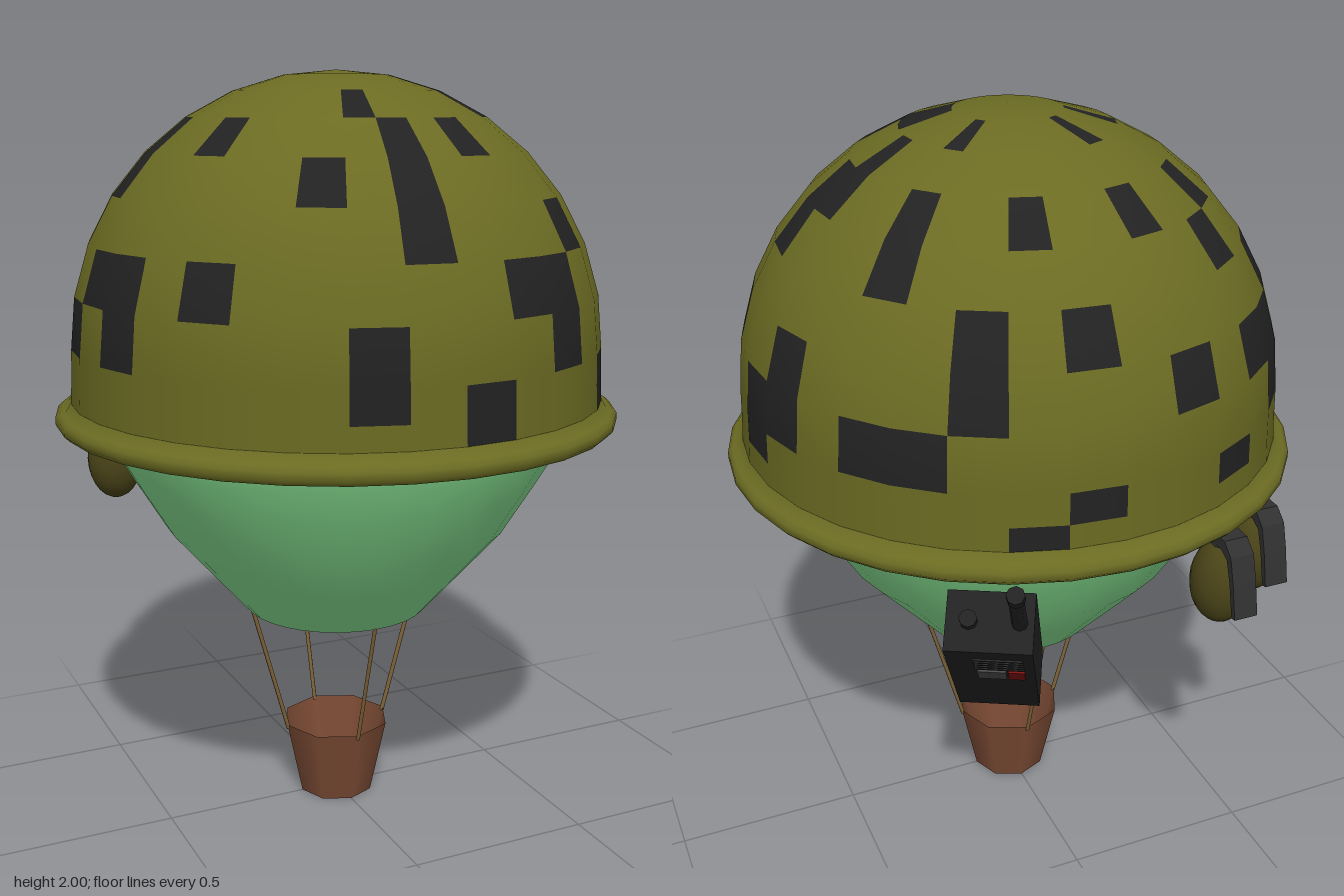
import * as THREE from 'three';

const mat = (color, double) => new THREE.MeshStandardMaterial({
  color, roughness: 0.9, side: double ? THREE.DoubleSide : THREE.FrontSide });
const olive = mat(0x6b6b23, true), black = mat(0x222222), blackThin = mat(0x222222, true);
const green = mat(0x86dd90, true), brown = mat(0x7a4a34, true), ropeMat = mat(0x7d6238);
const grey = mat(0x4a4a4a), darkGrey = mat(0x303030), red = mat(0x7a1212), grenadeMat = mat(0x4a4418);

function add(parent, name, geometry, material, x = 0, y = 0, z = 0) {
  const m = new THREE.Mesh(geometry, material);
  m.name = name;
  m.position.set(x, y, z);
  parent.add(m);
  return m;
}
const lathe = (pts, n = 32) => new THREE.LatheGeometry(pts.map(p => new THREE.Vector2(...p)), n);

// Helmet grid: 32 columns, counted from +z towards +x, and 10 rows from the top
const COLS = 32, ROWS = 10, R = 0.7, CY = 1.3, STEP = Math.PI / 16;
function gridPoint(row, col) {
  const a = Math.min(row, 8) * STEP, th = col * STEP;
  const r = row <= 8 ? R * Math.sin(a) : row === 9 ? 0.703 : 0.708;
  const y = row <= 8 ? CY + R * Math.cos(a) : row === 9 ? 1.22 : 1.14;
  return {
    p: [r * Math.sin(th), y, r * Math.cos(th)],
    n: [Math.sin(a) * Math.sin(th), Math.cos(a), Math.sin(a) * Math.cos(th)] };
}
function panels(cells) {
  const pos = [], nor = [];
  for (const [r, c] of cells) {
    const q = [gridPoint(r, c), gridPoint(r + 1, c), gridPoint(r + 1, c + 1), gridPoint(r, c + 1)];
    for (const i of [0, 1, 2, 0, 2, 3]) { pos.push(...q[i].p); nor.push(...q[i].n); }
  }
  const g = new THREE.BufferGeometry();
  g.setAttribute('position', new THREE.Float32BufferAttribute(pos, 3));
  g.setAttribute('normal', new THREE.Float32BufferAttribute(nor, 3));
  return g;
}

// Dark camouflage columns in each row
const camo = [
  [],
  [4, 5, 6, 11, 18, 22],
  [4, 8, 30],
  [1, 7, 8, 11, 14, 17, 20, 23, 26, 31],
  [5, 7, 11, 19, 23, 29, 31],
  [3, 13, 15, 21, 31],
  [1, 2, 6, 9, 13, 17, 19, 20, 24, 25, 27],
  [2, 8, 9, 11, 12, 20, 22, 23, 25, 30],
  [0, 4, 8, 15, 18, 22, 30],
  [0, 4, 5, 14],
];

function helmet() {
  const g = new THREE.Group();
  g.name = 'helmet';
  const plain = [], dark = [];
  for (let r = 0; r < ROWS; r++)
    for (let c = 0; c < COLS; c++) (camo[r].includes(c) ? dark : plain).push([r, c]);
  add(g, 'helmetShell', panels(plain), olive);
  add(g, 'camouflagePatches', panels(dark), blackThin);
  add(g, 'helmetRim', lathe([[0.655, 1.2], [0.69, 1.1], [0.7, 1.09], [0.735, 1.092], [0.748, 1.105],
    [0.748, 1.125], [0.735, 1.137], [0.72, 1.14], [0.707, 1.16]]), olive);
  return g;
}

function basket() {
  const g = new THREE.Group();
  g.name = 'basket';
  const wall = new THREE.CylinderGeometry(0.15, 0.105, 0.21, 8, 1, true);
  add(g, 'basketWall', wall, brown, 0, 0.105, 0);
  const floor = add(g, 'basketFloor', new THREE.CircleGeometry(0.105, 8), brown, 0, 0.001, 0);
  floor.rotation.x = Math.PI / 2;
  // Four ropes up to the mouth of the balloon
  for (let i = 0; i < 4; i++) {
    const s = Math.sin(i * Math.PI / 2), c = Math.cos(i * Math.PI / 2);
    const path = new THREE.LineCurve3(new THREE.Vector3(0.147 * s, 0.2, 0.147 * c),
      new THREE.Vector3(0.25 * s, 0.57, 0.25 * c));
    add(g, 'rope', new THREE.TubeGeometry(path, 1, 0.006, 6), ropeMat);
  }
  return g;
}

// Local frame: x to the right of the face, y along the body, z outwards
function radio() {
  const g = new THREE.Group();
  g.name = 'radio';
  add(g, 'radioBody', new THREE.BoxGeometry(0.21, 0.48, 0.15), black);
  add(g, 'antenna', new THREE.CylinderGeometry(0.018, 0.02, 0.2, 8), black, 0.07, 0.33, 0);
  add(g, 'antennaTip', new THREE.CylinderGeometry(0.022, 0.022, 0.03, 8), black, 0.07, 0.43, 0);
  add(g, 'knob', new THREE.CylinderGeometry(0.022, 0.022, 0.025, 8), black, -0.05, 0.25, 0);
  for (let i = 0; i < 5; i++)
    add(g, 'speakerSlot', new THREE.BoxGeometry(0.12, 0.008, 0.006), darkGrey, 0.02, 0.18 - i * 0.018, 0.076);
  add(g, 'display', new THREE.BoxGeometry(0.07, 0.06, 0.008), grey, 0.0, 0.06, 0.076);
  add(g, 'button', new THREE.BoxGeometry(0.04, 0.06, 0.008), red, 0.06, 0.06, 0.076);
  g.position.set(0.235, 0.77, -0.485);
  g.rotation.set(0.67, Math.PI - 0.48, 0, 'YXZ');
  return g;
}

function grenade(x, z) {
  const g = new THREE.Group();
  g.name = 'grenade';
  const body = add(g, 'grenadeBody', new THREE.SphereGeometry(1, 20, 14), grenadeMat);
  body.scale.set(0.08, 0.118, 0.08);
  add(g, 'grenadeCap', new THREE.CylinderGeometry(0.03, 0.035, 0.05, 10), darkGrey, 0, 0.115, 0);
  // Safety lever bending over the cap and down the back
  const s = new THREE.Shape([[-0.04, 0.145], [0.05, 0.145], [0.085, 0.115], [0.105, 0.05], [0.125, -0.04],
    [0.11, -0.042], [0.088, 0.045], [0.068, 0.1], [0.04, 0.115], [-0.04, 0.115]]
    .map(p => new THREE.Vector2(...p)));
  const geo = new THREE.ExtrudeGeometry(s, { depth: 0.064, bevelEnabled: false });
  geo.translate(0, 0, -0.032);
  geo.rotateY(Math.PI / 2);
  add(g, 'safetyLever', geo, darkGrey);
  g.position.set(x, 0.91, z);
  return g;
}

export function createModel() {
  const model = new THREE.Group();
  model.name = 'helmetBalloon';
  model.add(helmet());
  add(model, 'balloonEnvelope', lathe([[0.25, 0.56], [0.36, 0.685], [0.465, 0.805], [0.55, 0.945],
    [0.605, 1.04], [0.625, 1.1], [0.655, 1.2]]), green);
  model.add(basket(), radio(), grenade(-0.33, -0.6), grenade(-0.48, -0.5));
  return model;
}
